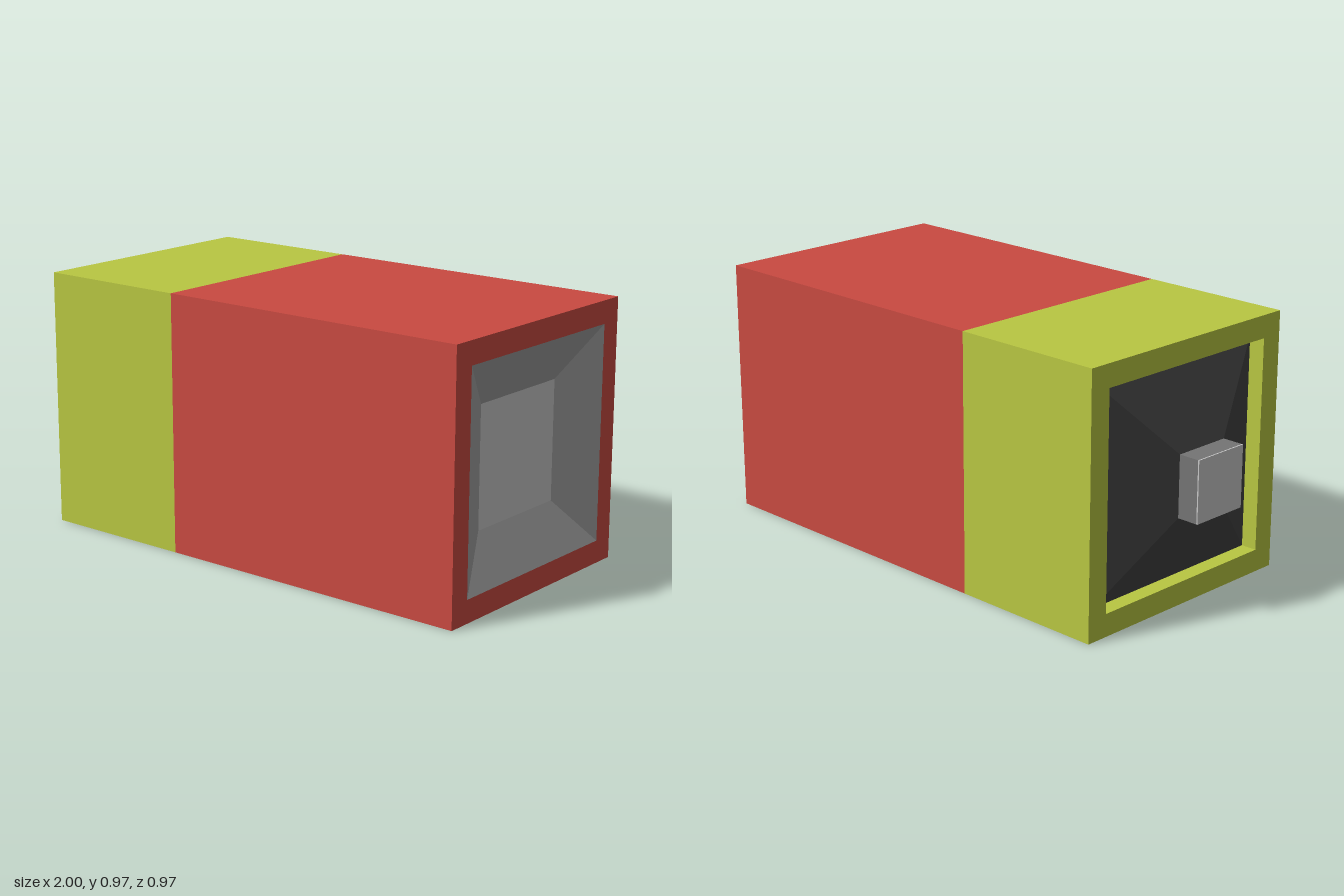
import * as THREE from 'three';

const MID = 0.485; // height of the long axis, also half the body width
const HOLE = 0.4; // half width of the end openings

const material = (name, color, side = THREE.FrontSide) =>
  new THREE.MeshStandardMaterial({ name, color, side });

// Square tube running along x
function sleeve(x0, x1) {
  const square = (path, h) =>
    path.moveTo(-h, -h).lineTo(h, -h).lineTo(h, h).lineTo(-h, h).closePath();
  const shape = square(new THREE.Shape(), MID);
  shape.holes.push(square(new THREE.Path(), HOLE));
  return new THREE.ExtrudeGeometry(shape, { depth: x1 - x0, bevelEnabled: false })
    .rotateY(Math.PI / 2).translate(x0, MID, 0);
}

// Open four-sided frustum along x, given half widths at both ends
function frustum(x0, half0, x1, half1) {
  const geo = new THREE.CylinderGeometry(half1 * Math.SQRT2, half0 * Math.SQRT2, x1 - x0, 4, 1, true)
    .rotateY(Math.PI / 4).rotateZ(-Math.PI / 2)
    .translate((x0 + x1) / 2, MID, 0).toNonIndexed();
  geo.computeVertexNormals();
  return geo;
}

// Box centred on the long axis
const block = (x0, x1, half) =>
  new THREE.BoxGeometry(x1 - x0, half * 2, half * 2).translate((x0 + x1) / 2, MID, 0);

export function createModel() {
  const red = material('red', 0xc94a41);
  const lime = material('lime', 0xb9c742);
  const black = material('black', 0x424242, THREE.DoubleSide);
  const steel = material('steel', 0x757575);
  const silver = material('silver', 0xa0a0a0, THREE.DoubleSide);
  const pale = material('paleGrey', 0xc8c8c8);

  const model = new THREE.Group();
  model.name = 'squareLamp';
  const add = (name, geometry, mat) => {
    const mesh = new THREE.Mesh(geometry, mat);
    mesh.name = name;
    model.add(mesh);
  };

  // Two-colour casing
  add('frontCasing', sleeve(-0.25, 1), red);
  add('rearCasing', sleeve(-0.85, -0.25), lime);

  // Recessed end: sloping walls down to a flat panel
  add('recessWalls', frustum(0.915, 0.222, 1, HOLE), silver);
  add('recessPanel', block(0.9, 0.915, 0.222), pale);

  // Tapered end cap with a square contact and its pale end face
  add('endCap', frustum(-0.915, 0.115, -0.788, HOLE), black);
  add('contact', block(-0.995, -0.9, 0.115), steel);
  add('contactFace', block(-1, -0.995, 0.115), pale);

  return model;
}
